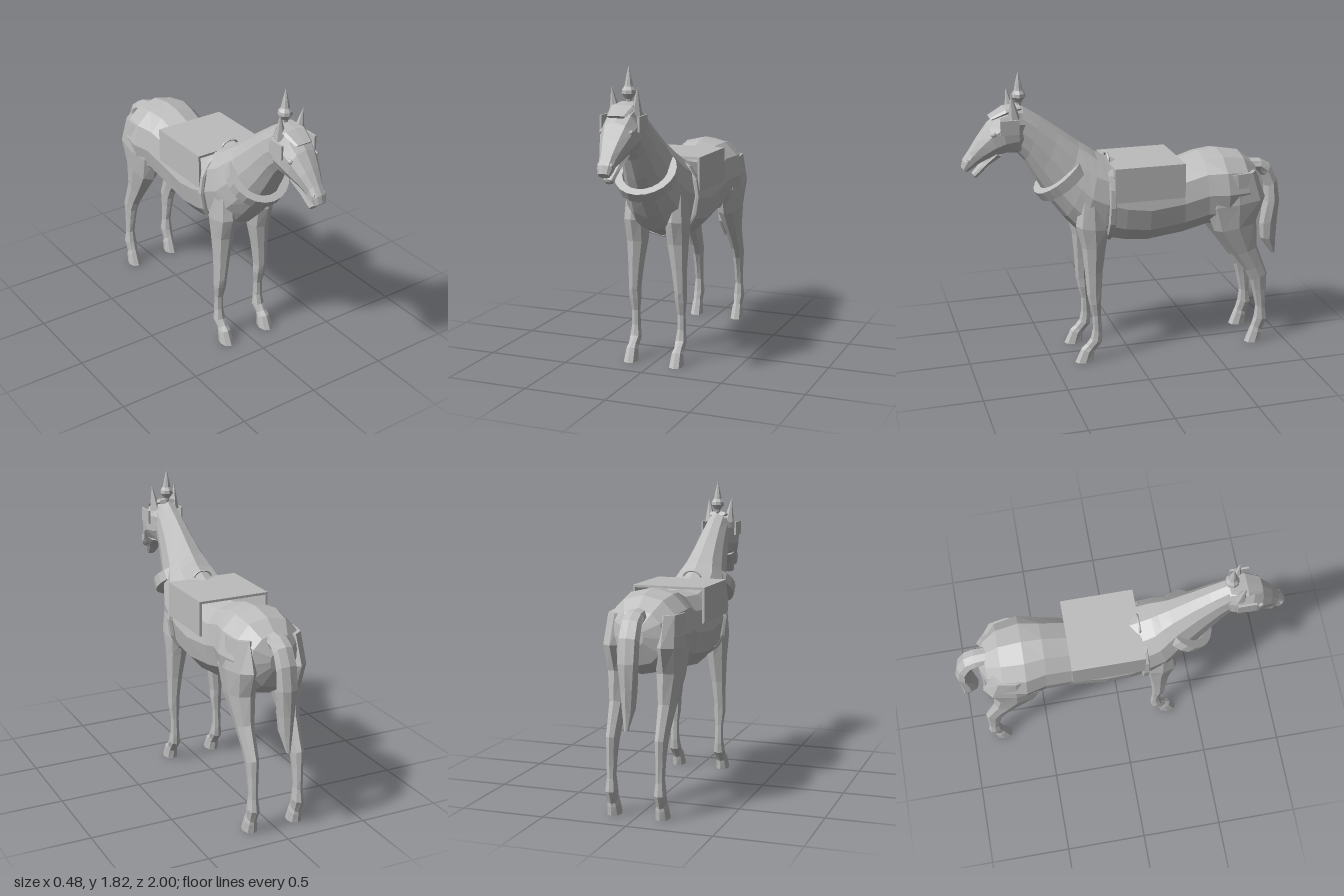
import * as THREE from 'three';

const grey = new THREE.MeshStandardMaterial({ color: 0xbcbcbc });

// Faceted copy of a geometry
function facet(geo) {
  const g = geo.index ? geo.toNonIndexed() : geo;
  g.computeVertexNormals();
  return g;
}

// Loft through rings: each is [zA, yA, zB, yB, halfWidth, x]; A and B are opposite ends in the side plane
function loft(rings, n = 12, fullness = 0.9) {
  const pos = [], index = [];
  const soft = v => Math.sign(v) * Math.pow(Math.abs(v), fullness);
  for (const [zA, yA, zB, yB, w, x = 0] of rings) {
    for (let i = 0; i < n; i++) {
      const t = (i / n) * Math.PI * 2, c = soft(Math.cos(t)), s = soft(Math.sin(t));
      pos.push(x + s * w, (yA + yB) / 2 + c * (yA - yB) / 2, (zA + zB) / 2 + c * (zA - zB) / 2);
    }
  }
  for (let r = 0; r < rings.length - 1; r++) {
    for (let i = 0; i < n; i++) {
      const a = r * n + i, b = r * n + (i + 1) % n;
      index.push(a, b, a + n, b, b + n, a + n);
    }
  }
  const last = (rings.length - 1) * n;
  for (let i = 1; i < n - 1; i++) {
    index.push(0, i + 1, i, last, last + i, last + i + 1);
  }
  // Turn the faces outward if the rings run the other way
  const p = i => new THREE.Vector3().fromArray(pos, i * 3);
  let volume = 0;
  for (let i = 0; i < index.length; i += 3) {
    volume += p(index[i]).dot(p(index[i + 1]).cross(p(index[i + 2])));
  }
  if (volume < 0) index.reverse();
  const g = new THREE.BufferGeometry();
  g.setAttribute('position', new THREE.Float32BufferAttribute(pos, 3));
  g.setIndex(index);
  return facet(g);
}

export function createModel() {
  const model = new THREE.Group();
  const add = (name, geo, x = 0, y = 0, z = 0) => {
    const m = new THREE.Mesh(geo, grey);
    m.name = name;
    m.position.set(x, y, z);
    model.add(m);
    return m;
  };

  // Trunk, chest and neck in one skin
  add('bodyAndNeck', loft([
    [-0.845, 1.08, -0.845, 0.97, 0.05],
    [-0.80, 1.17, -0.81, 0.86, 0.15],
    [-0.71, 1.24, -0.74, 0.80, 0.215],
    [-0.57, 1.265, -0.60, 0.78, 0.24],
    [-0.45, 1.255, -0.48, 0.785, 0.21],
    [-0.30, 1.21, -0.33, 0.745, 0.195],
    [-0.10, 1.20, -0.10, 0.72, 0.21],
    [0.05, 1.23, 0.05, 0.735, 0.212],
    [0.15, 1.275, 0.19, 0.765, 0.205],
    [0.20, 1.30, 0.32, 0.82, 0.195],
    [0.24, 1.33, 0.40, 0.91, 0.17],
    [0.30, 1.37, 0.475, 1.01, 0.14],
    [0.42, 1.46, 0.565, 1.16, 0.11],
    [0.53, 1.54, 0.63, 1.28, 0.092],
    [0.63, 1.605, 0.67, 1.33, 0.08],
  ]));

  // Head, tapering to the upper lip
  add('head', loft([
    [0.59, 1.58, 0.62, 1.36, 0.07],
    [0.68, 1.605, 0.655, 1.325, 0.095],
    [0.78, 1.575, 0.73, 1.33, 0.108],
    [0.84, 1.52, 0.79, 1.32, 0.098],
    [0.905, 1.435, 0.85, 1.30, 0.072],
    [0.955, 1.36, 0.90, 1.275, 0.05],
    [0.99, 1.31, 0.94, 1.25, 0.046],
    [1.0, 1.265, 0.965, 1.235, 0.034],
  ], 10));
  add('lowerJaw', loft([
    [0.83, 1.36, 0.76, 1.32, 0.07],
    [0.88, 1.29, 0.845, 1.265, 0.048],
    [0.915, 1.25, 0.88, 1.225, 0.037],
    [0.94, 1.225, 0.91, 1.195, 0.03],
    [0.935, 1.21, 0.92, 1.195, 0.015],
  ], 8));

  // Tail
  add('tail', loft([
    [-0.78, 1.18, -0.81, 1.09, 0.055],
    [-0.86, 1.172, -0.85, 1.09, 0.06],
    [-0.925, 1.135, -0.875, 1.06, 0.062],
    [-0.975, 1.04, -0.90, 0.99, 0.064],
    [-1.0, 0.90, -0.90, 0.89, 0.062],
    [-0.995, 0.75, -0.875, 0.74, 0.045],
    [-0.99, 0.63, -0.885, 0.64, 0.034],
    [-0.99, 0.53, -0.965, 0.53, 0.012],
  ], 8));

  const sides = [['left', 1], ['right', -1]];
  for (const [side, s] of sides) {
    const leg = (name, x, rings) =>
      add(side + name, loft(rings.map(([a, b, c, d, w, rx = x]) => [a, b, c, d, w, rx * s]), 8));

    // Fore leg, shoulder to hoof
    leg('ForeLeg', 0.148, [
      [0.32, 1.08, 0.18, 1.08, 0.055, 0.13],
      [0.35, 0.88, 0.145, 0.85, 0.072, 0.13],
      [0.315, 0.74, 0.165, 0.74, 0.064, 0.13],
      [0.30, 0.58, 0.19, 0.58, 0.046, 0.14],
      [0.29, 0.44, 0.20, 0.44, 0.036],
      [0.278, 0.38, 0.203, 0.38, 0.037],
      [0.257, 0.30, 0.205, 0.30, 0.026],
      [0.257, 0.21, 0.197, 0.18, 0.027],
      [0.272, 0.145, 0.20, 0.12, 0.036],
      [0.30, 0.11, 0.24, 0.07, 0.03],
      [0.33, 0.085, 0.25, 0.055, 0.036],
      [0.37, 0, 0.255, 0, 0.042],
    ]);
    // Hind leg, thigh to hoof
    leg('HindLeg', 0.145, [
      [-0.50, 1.14, -0.78, 1.14, 0.07],
      [-0.46, 0.93, -0.845, 0.97, 0.08, 0.15],
      [-0.52, 0.77, -0.795, 0.82, 0.07],
      [-0.65, 0.60, -0.805, 0.65, 0.046],
      [-0.73, 0.49, -0.85, 0.53, 0.037],
      [-0.765, 0.42, -0.878, 0.46, 0.034],
      [-0.785, 0.35, -0.876, 0.35, 0.028],
      [-0.81, 0.24, -0.877, 0.22, 0.026],
      [-0.80, 0.16, -0.89, 0.145, 0.035],
      [-0.785, 0.11, -0.86, 0.07, 0.029],
      [-0.775, 0.085, -0.86, 0.05, 0.036],
      [-0.742, 0, -0.855, 0, 0.041],
    ]);

    // Ear, eye and blinker
    const ear = add(side + 'Ear', facet(new THREE.ConeGeometry(0.036, 0.16, 6)), 0.07 * s, 1.625, 0.70);
    ear.rotation.set(0.12, 0, -0.1 * s);
    const eye = add(side + 'Eye', facet(new THREE.SphereGeometry(0.02, 8, 6)), 0.088 * s, 1.465, 0.815);
    eye.scale.set(0.7, 0.75, 1);
    add(side + 'Blinker', facet(new THREE.BoxGeometry(0.012, 0.085, 0.11)), 0.113 * s, 1.507, 0.725);

    // Nostril ridge
    const nostril = add(side + 'Nostril', facet(new THREE.SphereGeometry(0.016, 6, 5)), 0.036 * s, 1.30, 0.965);
    nostril.scale.set(0.7, 1.2, 0.8);

    // Side panel of the saddle cover
    add(side + 'SaddlePanel', facet(new THREE.BoxGeometry(0.014, 0.21, 0.435)), 0.215 * s, 1.135, -0.0875);
  }
  add('saddleTop', facet(new THREE.BoxGeometry(0.444, 0.014, 0.435)), 0, 1.233, -0.0875);

  // Brow pad on the forehead
  add('browPad', loft([
    [0.65, 1.618, 0.64, 1.59, 0.055],
    [0.74, 1.605, 0.73, 1.57, 0.075],
    [0.83, 1.555, 0.815, 1.54, 0.055],
  ], 8, 0.6));

  // Plume between the ears
  const plume = [[0, 1.60], [0.014, 1.61], [0.018, 1.63], [0.042, 1.66], [0.04, 1.68], [0.026, 1.70], [0.018, 1.74], [0, 1.815]]
    .map(([r, y]) => new THREE.Vector2(r, y));
  add('plume', facet(new THREE.LatheGeometry(plume, 8)), 0, 0, 0.65);

  // Open collar around the base of the neck
  const collar = new THREE.Shape();
  const arc = (rx, ry, from, to) => {
    for (let i = 0; i <= 16; i++) {
      const t = THREE.MathUtils.degToRad(from + (to - from) * i / 16);
      const px = rx * Math.cos(t), py = ry * Math.sin(t);
      if (collar.curves.length || i) collar.lineTo(px, py);
      else collar.moveTo(px, py);
    }
  };
  arc(0.187, 0.185, 130, 410);
  arc(0.138, 0.14, 410, 130);
  collar.closePath();
  const collarGeo = new THREE.ExtrudeGeometry(collar, { depth: 0.065, bevelEnabled: false });
  collarGeo.translate(0, 0, -0.0325);
  add('collar', facet(collarGeo), 0, 1.165, 0.405).rotation.x = -0.905;

  // Girth strap and the loop on top of it
  add('girthStrap', loft([
    [0.155, 1.25, 0.165, 0.755, 0.212],
    [0.15, 1.255, 0.16, 0.75, 0.226],
    [0.12, 1.255, 0.13, 0.745, 0.226],
    [0.115, 1.24, 0.12, 0.755, 0.21],
  ], 16));
  const loop = add('reinLoop', facet(new THREE.TorusGeometry(0.055, 0.008, 5, 12, Math.PI)), 0, 1.245, 0.125);
  loop.scale.y = 0.7;

  return model;
}
